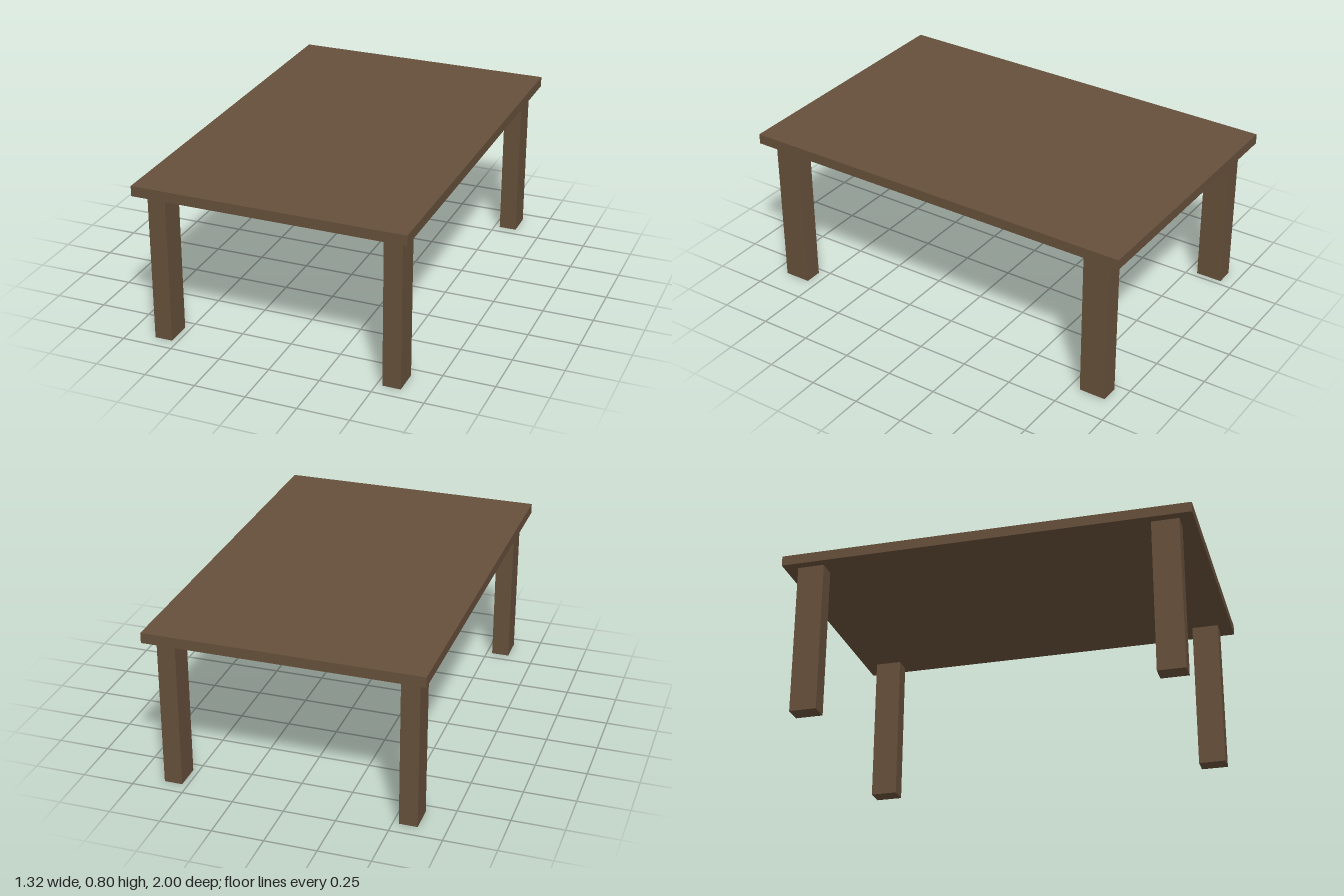
import * as THREE from 'three';

export function createModel() {
  const model = new THREE.Group();
  model.name = 'table';
  const wood = new THREE.MeshStandardMaterial({ color: 0x654f3a });
  wood.name = 'brown wood';

  const height = 0.804, thickness = 0.05;
  const legHeight = height - thickness;

  // Flat rectangular top
  const top = new THREE.Mesh(new THREE.BoxGeometry(1.32, thickness, 2), wood);
  top.name = 'tableTop';
  top.position.y = height - thickness / 2;
  model.add(top);

  // Four legs, set in slightly from the corners
  const legGeometry = new THREE.BoxGeometry(0.088, legHeight, 0.132);
  for (const [side, sx] of [['Left', 1], ['Right', -1]]) {
    for (const [end, sz] of [['front', 1], ['back', -1]]) {
      const leg = new THREE.Mesh(legGeometry, wood);
      leg.name = `${end}${side}Leg`;
      leg.position.set(sx * 0.572, legHeight / 2, sz * 0.867);
      model.add(leg);
    }
  }
  return model;
}
